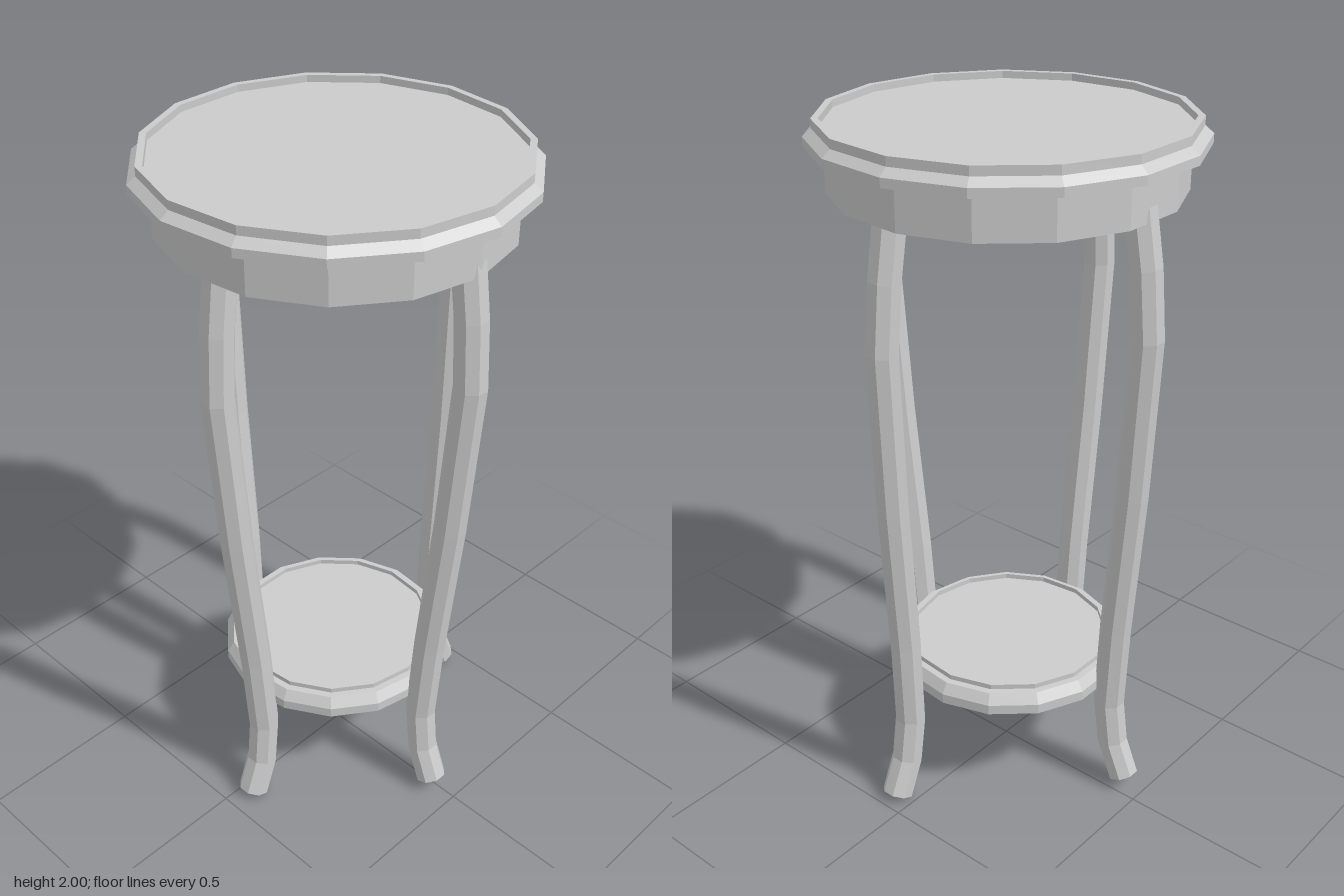
import * as THREE from 'three';

const SIDES = 15;
const LEG_SIDES = 8;
const LEG_RADIUS = 0.046;

const material = new THREE.MeshStandardMaterial({ color: 0xcccccc, flatShading: true });

// Faceted turned part with a corner pointing towards +x
function turned(name, profile, x = 0) {
  const points = profile.map(([r, y]) => new THREE.Vector2(r, y));
  const mesh = new THREE.Mesh(new THREE.LatheGeometry(points, SIDES, Math.PI / 2), material);
  mesh.name = name;
  mesh.position.x = x;
  return mesh;
}

// Octagonal bar swept along a path, with mitred bends and closed ends
function sweep(path, side) {
  const positions = [];
  const index = [];
  const n = LEG_SIDES;
  path.forEach((p, i) => {
    const into = p.clone().sub(path[Math.max(i - 1, 0)]).normalize();
    const out = path[Math.min(i + 1, path.length - 1)].clone().sub(p).normalize();
    const tangent = into.add(out).normalize();
    const normal = tangent.clone().cross(side).normalize();
    const across = normal.clone().cross(tangent);
    for (let j = 0; j < n; j++) {
      const a = ((j + 0.5) / n) * Math.PI * 2;
      const v = p.clone()
        .addScaledVector(across, Math.cos(a) * LEG_RADIUS)
        .addScaledVector(normal, Math.sin(a) * LEG_RADIUS);
      positions.push(v.x, v.y, v.z);
    }
  });
  const last = (path.length - 1) * n;
  for (let i = 0; i < last; i += n) {
    for (let j = 0; j < n; j++) {
      const k = (j + 1) % n;
      index.push(i + j, i + k, i + n + j, i + k, i + n + k, i + n + j);
    }
  }
  for (let j = 1; j < n - 1; j++) {
    index.push(0, j + 1, j, last, last + j, last + j + 1);
  }
  const geometry = new THREE.BufferGeometry();
  geometry.setAttribute('position', new THREE.Float32BufferAttribute(positions, 3));
  geometry.setIndex(index);
  geometry.computeVertexNormals();
  return geometry;
}

// Leg curve as [distance from the axis, height], top to foot
const LEG_CURVE = [
  [0.422, 1.83], [0.446, 1.66], [0.459, 1.47], [0.428, 1.0],
  [0.385, 0.54], [0.368, 0.27], [0.384, 0.13], [0.427, 0.02],
];

// Each leg leans a little: [x, z] shift at the top and at the foot
const LEGS = [
  { name: 'leftLeg', dir: [1, 0], top: [0.004, -0.005], foot: [-0.014, 0.01], lift: 0.025 },
  { name: 'rightLeg', dir: [-1, 0], top: [-0.008, -0.008], foot: [-0.005, 0.04], lift: 0.025 },
  { name: 'frontLeg', dir: [0, 1], top: [0.018, -0.004], foot: [0.038, -0.01], lift: 0 },
  { name: 'backLeg', dir: [0, -1], top: [0.018, 0.006], foot: [0.055, -0.018], lift: 0 },
];

function makeLeg({ name, dir, top, foot, lift }) {
  const path = LEG_CURVE.map(([r, y]) => {
    const f = 1 - y / 1.83;
    return new THREE.Vector3(
      dir[0] * r + THREE.MathUtils.lerp(top[0], foot[0], f),
      Math.min(y + lift, 1.84),
      dir[1] * r + THREE.MathUtils.lerp(top[1], foot[1], f),
    );
  });
  const mesh = new THREE.Mesh(sweep(path, new THREE.Vector3(-dir[1], 0, dir[0])), material);
  mesh.name = name;
  return mesh;
}

export function createModel() {
  const group = new THREE.Group();
  group.name = 'pedestalTable';

  // Round top with a moulded edge and a sunken surface
  group.add(turned('tableTop', [
    [0, 1.93], [0.527, 1.93], [0.527, 1.955], [0.503, 1.975],
    [0.503, 2.0], [0.484, 2.0], [0.484, 1.98], [0, 1.98],
  ], -0.006));

  // Apron under the top
  group.add(turned('apron', [[0, 1.807], [0.476, 1.807], [0.476, 1.93], [0, 1.93]], -0.005));

  // Lower shelf, shaped like a smaller top
  group.add(turned('lowerShelf', [
    [0, 0.345], [0.347, 0.345], [0.347, 0.375], [0.327, 0.405],
    [0.307, 0.405], [0.307, 0.42], [0.295, 0.42], [0.295, 0.405], [0, 0.405],
  ], -0.012));

  // Four curved legs
  LEGS.forEach((leg) => group.add(makeLeg(leg)));

  return group;
}
